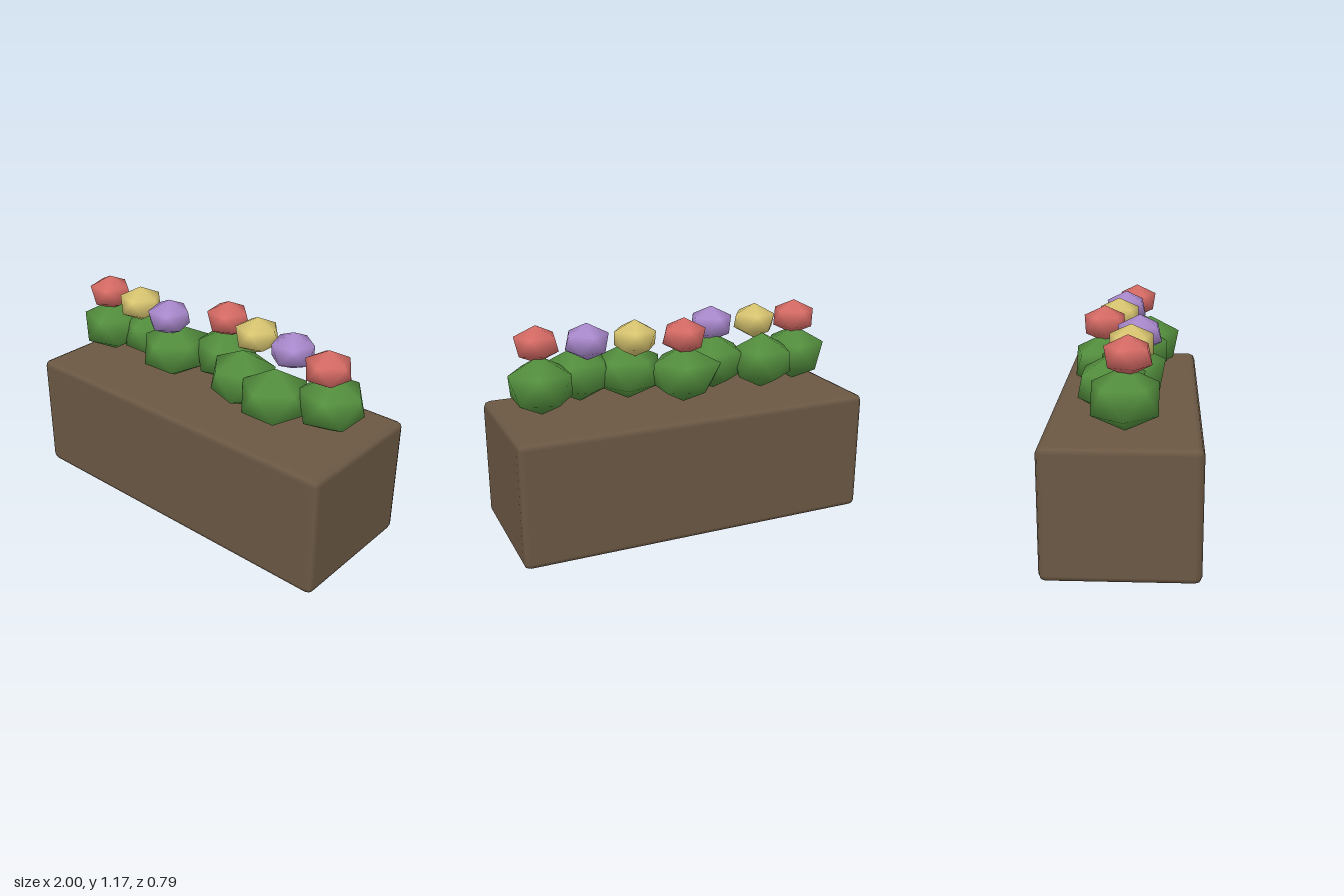
import * as THREE from 'three';
import { RoundedBoxGeometry } from 'three/addons/geometries/RoundedBoxGeometry.js';

const mat = (name, color) => {
  const m = new THREE.MeshStandardMaterial({ color });
  m.name = name;
  return m;
};

// Twelve-point faceted ball: two poles and two staggered rings of five, smooth shaded.
// yaw turns an upper point that way (degrees, 0 = +x, 90 = -z); bump pushes that point out.
function lump(radius, halfHeight, yaw, bump = 1) {
  const p = [0, halfHeight, 0];
  for (const ring of [0, 1]) {
    for (let i = 0; i < 5; i++) {
      const a = THREE.MathUtils.degToRad(yaw + 72 * i + 36 * ring);
      const r = radius * (ring === 0 && i === 0 ? bump : 1);
      p.push(r * Math.cos(a), halfHeight * (ring ? -0.447 : 0.447), -r * Math.sin(a));
    }
  }
  p.push(0, -halfHeight, 0);
  const index = [];
  for (let i = 0; i < 5; i++) {
    const j = (i + 1) % 5;
    index.push(0, 1 + i, 1 + j);
    index.push(1 + i, 6 + i, 1 + j);
    index.push(1 + j, 6 + i, 6 + j);
    index.push(11, 6 + j, 6 + i);
  }
  const g = new THREE.BufferGeometry();
  g.setAttribute('position', new THREE.Float32BufferAttribute(p, 3));
  g.setIndex(index);
  g.computeVertexNormals();
  return g;
}

export function createModel() {
  const group = new THREE.Group();
  const wood = mat('brown wood', 0x6b5844);
  const leaf = mat('leaf green', 0x55913f);
  const petals = [mat('red petals', 0xd96c66), mat('yellow petals', 0xdcc872), mat('purple petals', 0xac8bd0)];

  const add = (name, geometry, material, x, y, z) => {
    const mesh = new THREE.Mesh(geometry, material);
    mesh.name = name;
    mesh.position.set(x, y, z);
    group.add(mesh);
  };

  // Planter box with narrow bevelled edges
  add('planterBox', new RoundedBoxGeometry(2, 0.685, 0.79, 1, 0.035), wood, 0, 0.3425, 0);

  // Row of plants: bush z, bush yaw, bump, flower z, flower yaw, flower colour
  const plants = [
    [0.015, 0, 1, 0.03, 90, 0],
    [-0.065, 54, 1, 0.035, 0, 1],
    [0.035, 56, 1.2, 0.07, 90, 2],
    [-0.125, 144, 1.2, -0.13, 10, 0],
    [0.05, 180, 1.06, -0.065, 0, 1],
    [0.11, 270, 1, -0.035, 90, 2],
    [-0.03, 0, 1, 0.02, 60, 0],
  ];
  plants.forEach(([bz, byaw, bump, fz, fyaw, c], i) => {
    const x = (i - 3) * 0.258;
    add('bush', lump(0.172, 0.16, byaw, bump), leaf, x, 0.863, bz);
    add('flower', lump(0.116, 0.101, fyaw), petals[c], x, 1.073, fz);
  });
  return group;
}
